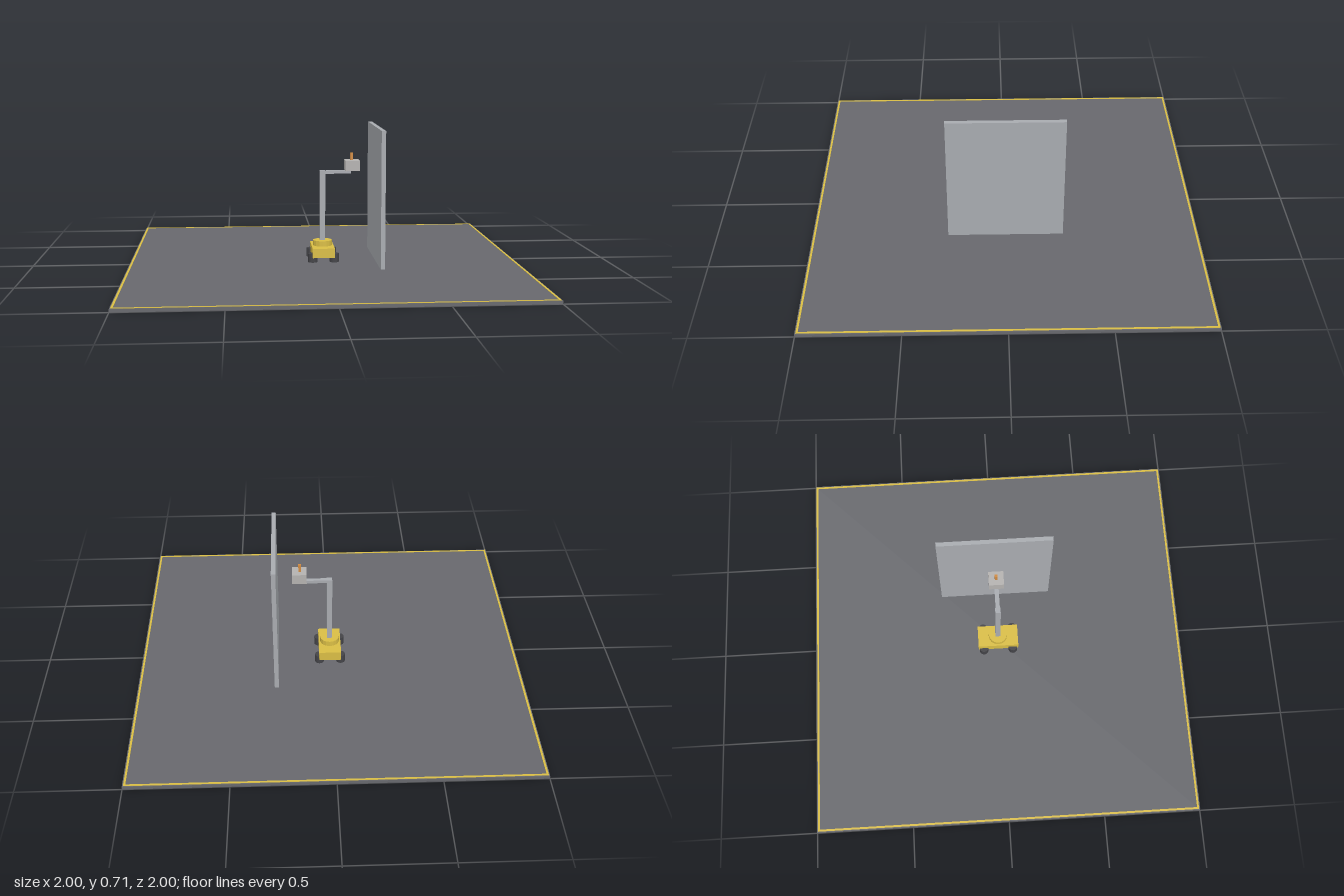
import * as THREE from 'three';

const paint = (color) => new THREE.MeshStandardMaterial({ color, flatShading: true });

export function createModel() {
  const model = new THREE.Group();
  const yellow = paint(0xd9bd45);
  const dark = paint(0x444448);
  const steel = paint(0xa8abb0);
  const floorGrey = paint(0x67686d);
  const orange = paint(0xd08a40);

  const add = (name, geometry, material, x, y, z) => {
    const mesh = new THREE.Mesh(geometry, material);
    mesh.name = name;
    mesh.position.set(x, y, z);
    model.add(mesh);
    return mesh;
  };
  // Box given by its extents on each axis
  const box = (name, material, [x0, x1], [y0, y1], [z0, z1]) =>
    add(name, new THREE.BoxGeometry(x1 - x0, y1 - y0, z1 - z0), material,
      (x0 + x1) / 2, (y0 + y1) / 2, (z0 + z1) / 2);

  // Floor slab with a thin painted border
  box('floor', floorGrey, [-1, 1], [0, 0.016], [-1, 1]);
  for (const s of [-1, 1]) {
    const strip = [s * 0.99 - 0.005, s * 0.99 + 0.005];
    box('borderFrontBack', yellow, [-0.995, 0.995], [0.015, 0.018], strip);
    box('borderSide', yellow, strip, [0.015, 0.018], [-0.985, 0.985]);
  }

  // Upright wall panel
  box('wall', steel, [0.272, 0.294], [0.016, 0.715], [-0.297, 0.297]);

  // Wheeled carriage: upright drum feet, chassis and round turret
  for (const x of [-0.056, 0.056]) {
    for (const z of [-0.079, 0.079]) {
      add('wheel', new THREE.CylinderGeometry(0.024, 0.024, 0.045, 12), dark, x, 0.0385, z);
    }
  }
  box('chassis', yellow, [-0.058, 0.058], [0.041, 0.09], [-0.108, 0.108]);
  add('turret', new THREE.CylinderGeometry(0.05, 0.05, 0.028, 16), yellow, 0, 0.104, 0);

  // Mast, arm and tool head
  box('mast', steel, [-0.014, 0.014], [0.118, 0.485], [-0.014, 0.014]);
  box('arm', steel, [0, 0.148], [0.468, 0.484], [-0.011, 0.011]);
  box('toolHead', paint(0xb4b2b0), [0.118, 0.193], [0.484, 0.538], [-0.039, 0.039]);
  box('toolTip', orange, [0.146, 0.16], [0.538, 0.576], [-0.007, 0.007]);

  return model;
}
